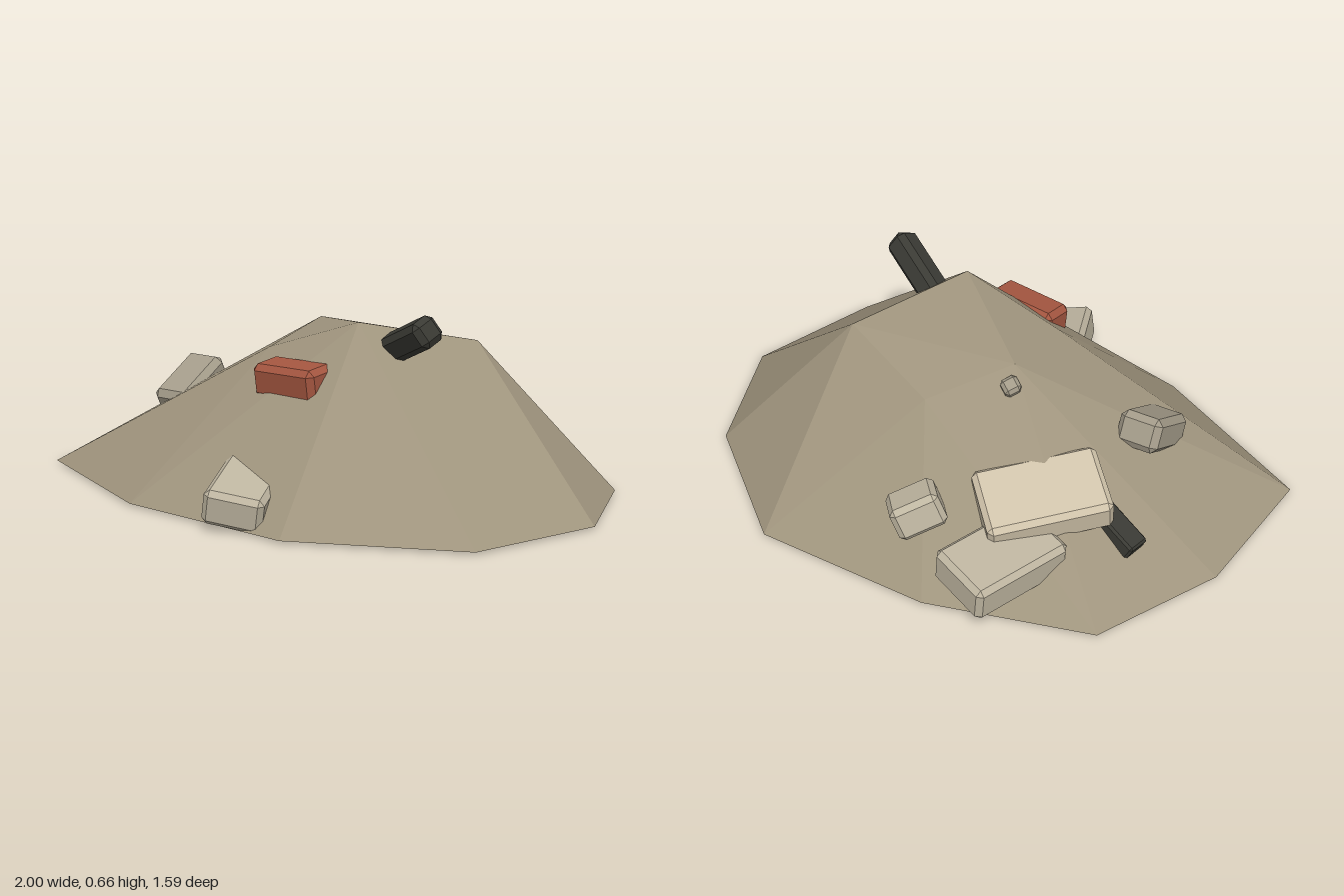
import * as THREE from 'three';
import { ConvexGeometry } from 'three/addons/geometries/ConvexGeometry.js';

const material = (name, color) => {
  const m = new THREE.MeshStandardMaterial({ color });
  m.name = name;
  return m;
};

// Low faceted heap: a ten-sided foot joined to a five-cornered crown.
function moundGeometry() {
  const foot = [
    [-0.97, 0.47], [-0.33, 0.715], [0.35, 0.72], [0.89, 0.42], [1, -0.06],
    [0.79, -0.49], [0.33, -0.8], [-0.3, -0.74], [-0.84, -0.52], [-1, -0.06],
  ];
  const crown = [
    [-0.16, 0.49, 0.21], [0.2, 0.61, 0.165], [0.4, 0.52, -0.22],
    [0, 0.45, -0.33], [-0.2, 0.55, -0.1],
  ];
  const points = [...foot.map(([x, z]) => [x, 0.01, z]), ...crown];
  // First foot corner of the fan below each crown corner
  const fanStart = [0, 1, 3, 6, 8, 10];
  const index = [];
  for (let c = 0; c < 5; c++) {
    const top = 10 + c;
    for (let f = fanStart[c]; f < fanStart[c + 1]; f++) index.push(f, (f + 1) % 10, top);
    index.push(fanStart[c + 1] % 10, 10 + ((c + 1) % 5), top);
  }
  index.push(11, 12, 14, 12, 13, 14, 10, 11, 14);
  for (let f = 1; f < 9; f++) index.push(0, f + 1, f);
  const indexed = new THREE.BufferGeometry();
  indexed.setAttribute('position', new THREE.Float32BufferAttribute(points.flat(), 3));
  indexed.setIndex(index);
  const geometry = indexed.toNonIndexed();
  geometry.computeVertexNormals();
  return geometry;
}

// Box with chamfered edges and corners; taper narrows the +x end.
function chunkGeometry([length, height, width], bevel, taper) {
  const points = [];
  for (const sx of [-1, 1]) for (const sy of [-1, 1]) for (const sz of [-1, 1]) {
    const k = sx > 0 ? taper : 1;
    for (let axis = 0; axis < 3; axis++) {
      const inset = [0, 1, 2].map((a) => (a === axis ? 0 : bevel));
      points.push(new THREE.Vector3(
        sx * (length / 2 - inset[0]),
        sy * (height / 2 - inset[1]) * k,
        sz * (width / 2 - inset[2]) * k,
      ));
    }
  }
  return new ConvexGeometry(points);
}

// Places a chunk by its centre, length direction and rough width direction.
function chunk(name, mat, size, centre, along, across, bevel = 0.018, taper = 1) {
  const mesh = new THREE.Mesh(chunkGeometry(size, bevel, taper), mat);
  const x = new THREE.Vector3(...along).normalize();
  const y = new THREE.Vector3(...across).cross(x).normalize();
  const z = new THREE.Vector3().crossVectors(x, y);
  mesh.quaternion.setFromRotationMatrix(new THREE.Matrix4().makeBasis(x, y, z));
  mesh.position.set(...centre);
  mesh.name = name;
  return mesh;
}

export function createModel() {
  const earth = material('earth', 0xa0957e);
  const pale = material('paleStone', 0xd2c5ac);
  const stone = material('stone', 0xbfb6a1);
  const grey = material('greyStone', 0xa39b89);
  const brick = material('brick', 0xa45640);
  const charred = material('charredWood', 0x3a3a34);

  const group = new THREE.Group();
  group.name = 'rubblePile';
  const mound = new THREE.Mesh(moundGeometry(), earth);
  mound.name = 'mound';

  group.add(
    mound,
    // Concrete chunks lying on the slopes
    chunk('frontStone', stone, [0.32, 0.12, 0.2], [0.1, 0.1, 0.61], [0.12, -0.05, 0.23], [-0.16, 0.03, 0.09]),
    chunk('largeSlab', pale, [0.42, 0.12, 0.26], [-0.48, 0.265, -0.325], [0.26, -0.04, -0.3], [0.2, 0.06, 0.15]),
    chunk('backSlab', stone, [0.37, 0.13, 0.24], [-0.48, 0.155, -0.55], [0.09, -0.01, -0.34], [0.23, 0.03, 0.06]),
    chunk('smallStone', stone, [0.17, 0.12, 0.15], [-0.17, 0.245, -0.595], [0.09, -0.05, -0.11], [0.12, -0.04, 0.09]),
    chunk('sideStone', grey, [0.25, 0.12, 0.155], [-0.58, 0.29, 0.165], [0.02, -0.11, 0.2], [-0.14, 0, 0.02], 0.022),
    chunk('stoneChip', grey, [0.06, 0.06, 0.06], [-0.225, 0.5, -0.155], [1, 0.6, 0.4], [-0.3, 0.5, 1], 0.012),
    // Broken brick set into the front slope
    chunk('brick', brick, [0.27, 0.115, 0.13], [0.05, 0.418, 0.318], [1, 0.02, 0.01], [0, -0.12, 1], 0.02),
    // Burnt timber
    chunk('charredBeam', charred, [0.34, 0.095, 0.095], [0.36, 0.555, 0.118], [0.23, 0.1, 0.085], [-0.2, -0.5, 1], 0.02),
    chunk('charredStub', charred, [0.22, 0.06, 0.085], [-0.69, 0.185, -0.215], [-0.2, -0.1, -0.02], [0, 0, -1], 0.008),
  );
  return group;
}
